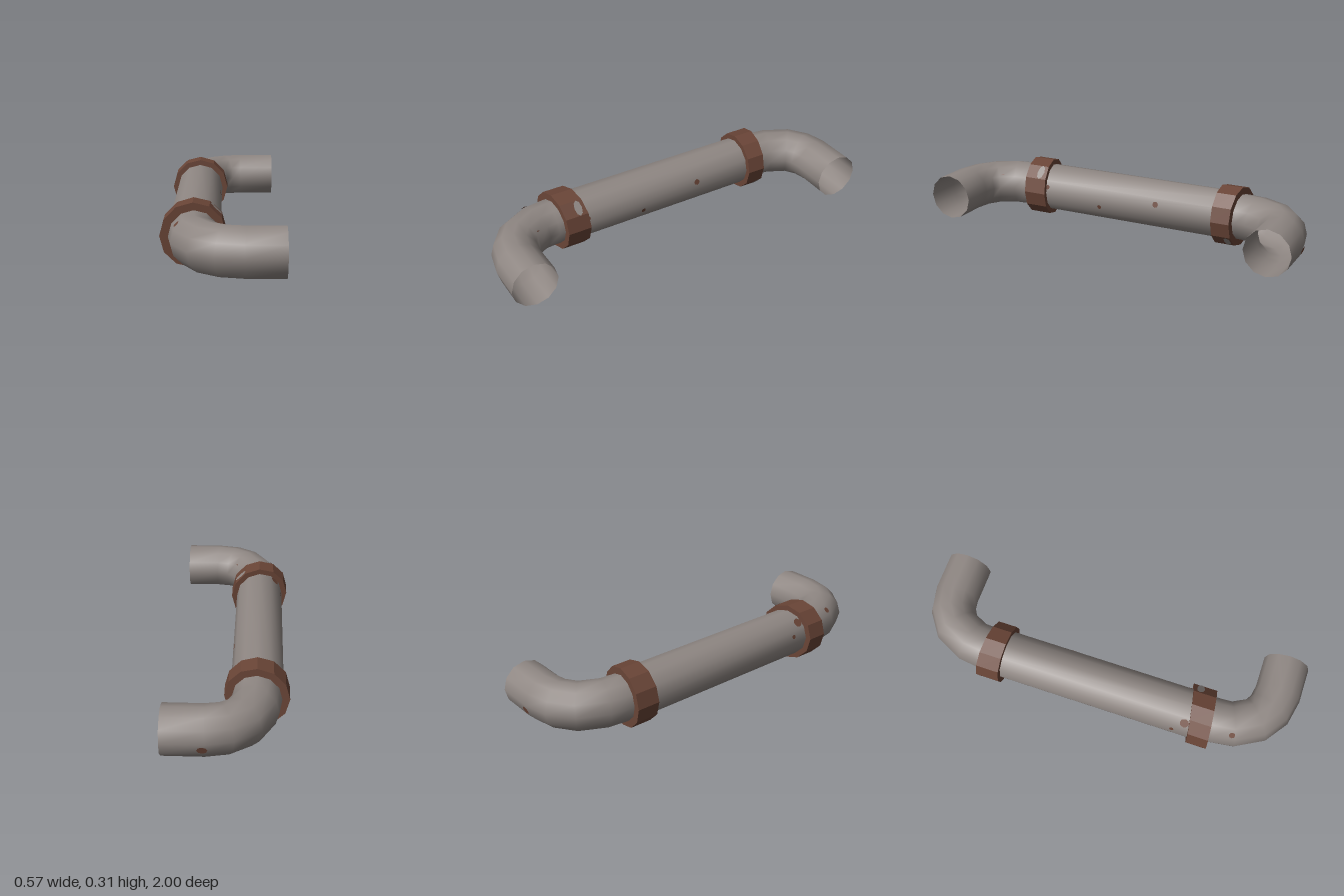
import * as THREE from 'three';

const CX = -0.132, CY = 0.153; // axis of the straight run
const SIDES = 12;

// Open tube swept along horizontal [x, z] centres
function pipe(path, r) {
  const pos = [], idx = [];
  path.forEach(([x, z], i) => {
    const a = path[Math.max(i - 1, 0)], b = path[Math.min(i + 1, path.length - 1)];
    const t = new THREE.Vector2(b[0] - a[0], b[1] - a[1]).normalize();
    for (let j = 0; j < SIDES; j++) {
      const ang = (j / SIDES) * Math.PI * 2;
      const c = Math.cos(ang) * r, s = Math.sin(ang) * r;
      pos.push(x + c * t.y, CY + s, z - c * t.x);
      if (i < path.length - 1) {
        const k = (j + 1) % SIDES, p = i * SIDES, q = p + SIDES;
        idx.push(p + j, p + k, q + j, p + k, q + k, q + j);
      }
    }
  });
  const g = new THREE.BufferGeometry();
  g.setAttribute('position', new THREE.Float32BufferAttribute(pos, 3));
  g.setIndex(idx);
  g.computeVertexNormals();
  return g;
}

// Faceted ring whose two faces slant; z0/z1 are [at -x side, at +x side]
function collar(z0, z1) {
  const R = 0.153, r = 0.112;
  const profile = [[r, -1], [R, -1], [R, 1], [r, 1]].map(p => new THREE.Vector2(...p));
  let g = new THREE.LatheGeometry(profile, SIDES);
  g.rotateX(Math.PI / 2);
  const p = g.attributes.position;
  for (let i = 0; i < p.count; i++) {
    const f = (p.getX(i) / R + 1) / 2;
    const e = p.getZ(i) < 0 ? z0 : z1;
    p.setZ(i, e[0] + (e[1] - e[0]) * f);
  }
  g = g.toNonIndexed();
  g.computeVertexNormals();
  g.translate(CX, CY, 0);
  return g;
}

export function createModel() {
  const model = new THREE.Group();
  const steel = new THREE.MeshStandardMaterial({ color: 0x8f8783, side: THREE.DoubleSide });
  steel.name = 'grey steel';
  const rust = new THREE.MeshStandardMaterial({ color: 0x6a4537, side: THREE.DoubleSide });
  rust.name = 'rust brown';

  const add = (name, geo, mat) => {
    const m = new THREE.Mesh(geo, mat);
    m.name = name;
    model.add(m);
    return m;
  };

  // Straight run and the two elbows
  add('mainPipe', pipe([[CX, -0.57], [CX, 0.55]], 0.125), steel);
  add('frontElbow', pipe([[-0.128, 0.52], [-0.128, 0.62], [-0.118, 0.705], [-0.06, 0.81],
    [0.015, 0.862], [0.11, 0.881], [0.283, 0.881]], 0.117), steel);
  add('rearElbow', pipe([[-0.132, -0.52], [-0.132, -0.62], [-0.123, -0.705], [-0.068, -0.815],
    [0.008, -0.867], [0.095, -0.884], [0.286, -0.882]], 0.117), steel);

  // Slanted collars over the joints
  add('frontCollar', collar([0.51, 0.457], [0.615, 0.58]), rust);
  add('rearCollar', collar([-0.625, -0.597], [-0.505, -0.5]), rust);

  // Thin patches lying on a surface at a distance from the pipe centre
  const patch = (name, mat, centre, normal, dist, w, h) => {
    const m = add(name, new THREE.CircleGeometry(1, 8), mat);
    const n = new THREE.Vector3(...normal).normalize();
    m.position.set(centre[0], CY, centre[1]).addScaledVector(n, dist);
    m.lookAt(m.position.clone().add(n));
    m.scale.set(w, h, 1);
  };
  const radial = deg => [Math.cos(deg * Math.PI / 180), Math.sin(deg * Math.PI / 180), 0];

  // Rust spots on the straight run: angle, z, size
  [[-15, 0.14, 0.012], [15, -0.185, 0.016], [135, 0.475, 0.024],
    [15, 0.455, 0.012], [165, 0.42, 0.012]].forEach(([a, z, s]) =>
    patch('rustSpot', rust, [CX, z], radial(a), 0.123, s, s));

  // Rust spots on the elbows
  patch('elbowRustSpot', rust, [-0.12, 0.7], [-0.7, 0.7, 0.15], 0.117, 0.016, 0.016);
  patch('elbowRustSpot', rust, [-0.085, 0.775], [0.72, 0.5, -0.35], 0.117, 0.012, 0.012);
  patch('elbowRustSpot', rust, [0.1, -0.884], [0, -0.26, -0.97], 0.117, 0.024, 0.02);

  // Bare metal patches on the collars
  patch('bareMetalPatch', steel, [CX, 0.502], radial(45), 0.15, 0.02, 0.04);
  patch('bareMetalPatch', steel, [CX, -0.578], radial(-45), 0.15, 0.018, 0.038);

  return model;
}
